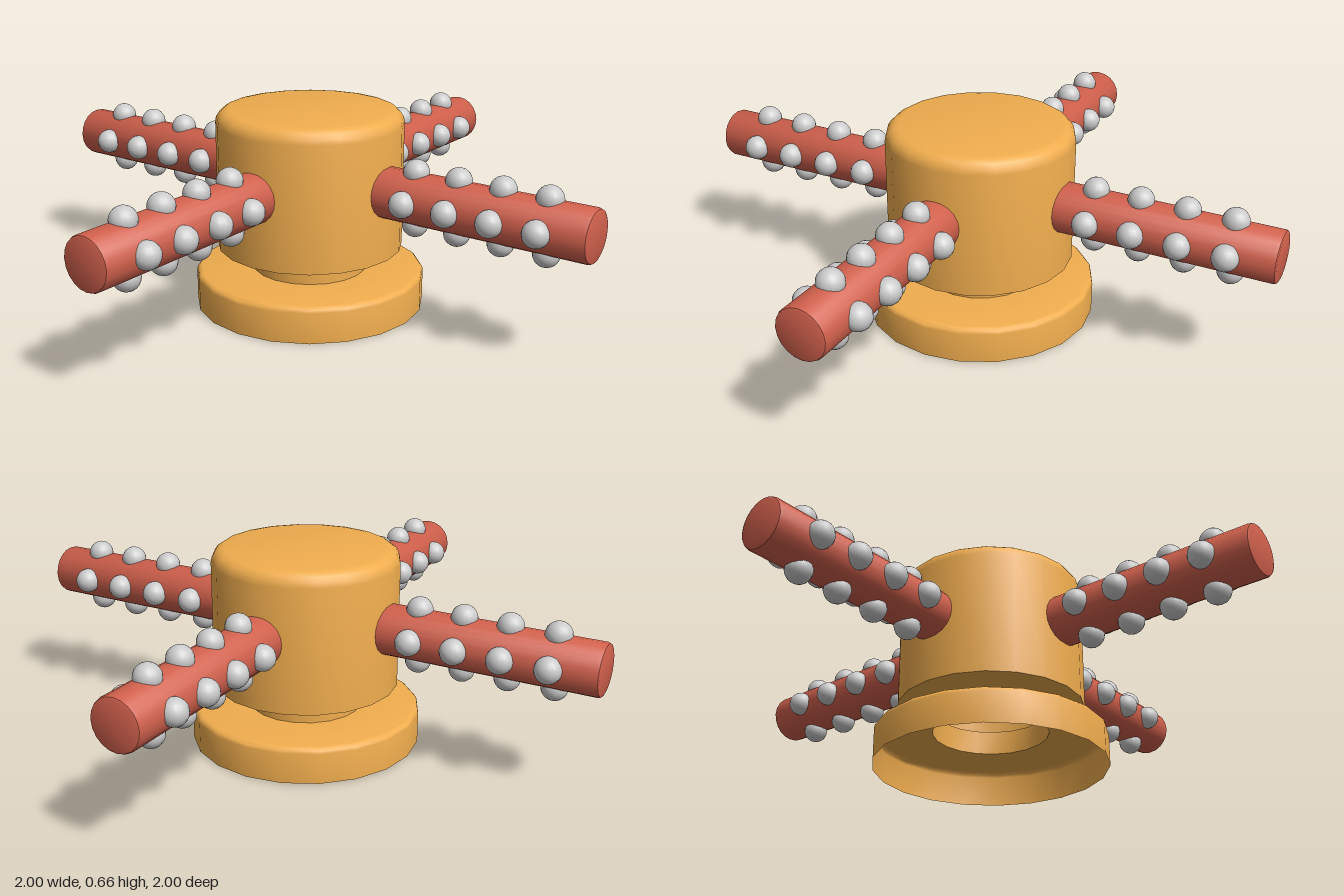
import * as THREE from 'three';
import { toCreasedNormals } from 'three/addons/utils/BufferGeometryUtils.js';

const AXIS_Y = 0.43, ARM_R = 0.083, STUD_R = 0.042;

// Turned shape with crisp corners and smooth sides
function turned(profile, sides) {
  const points = profile.map(([r, y]) => new THREE.Vector2(r, y));
  return toCreasedNormals(new THREE.LatheGeometry(points, sides), 0.7);
}

// Rounded outer corner of a profile, ending on a flat top at height y
function corner(r, y, radius, steps = 4) {
  return Array.from({ length: steps + 1 }, (_, i) => {
    const a = (i / steps) * Math.PI / 2;
    return [r - radius + radius * Math.cos(a), y - radius + radius * Math.sin(a)];
  });
}

export function createModel() {
  const model = new THREE.Group();
  model.name = 'studdedHandwheel';
  const bodyMat = new THREE.MeshStandardMaterial({ color: 0xf0ad4e, side: THREE.DoubleSide });
  const armMat = new THREE.MeshStandardMaterial({ color: 0xd0604c });
  const studMat = new THREE.MeshStandardMaterial({ color: 0xcccccc });

  // Hollow shell, open underneath: flange, neck and hub
  const body = new THREE.Mesh(turned([
    [0.382, 0], ...corner(0.382, 0.12, 0.018, 3),
    [0.19, 0.12], [0.19, 0.2],
    [0.308, 0.2], ...corner(0.308, 0.66, 0.045),
    [0, 0.66],
  ], 20), bodyMat);
  body.name = 'hubAndFlange';
  model.add(body);

  // Four arms, each with four rings of four half-sunk studs
  const armGeo = turned([
    [0, 0.28], [ARM_R, 0.28], ...corner(ARM_R, 1, 0.01, 2), [0, 1],
  ], 20);
  const studGeo = new THREE.SphereGeometry(STUD_R, 16, 12);
  for (let k = 0; k < 4; k++) {
    const arm = new THREE.Group();
    arm.name = 'arm' + (k + 1);
    const rod = new THREE.Mesh(armGeo, armMat);
    rod.name = 'rod';
    rod.rotation.z = -Math.PI / 2;
    arm.add(rod);
    for (let ring = 0; ring < 4; ring++) {
      for (let q = 0; q < 4; q++) {
        const a = q * Math.PI / 2;
        const stud = new THREE.Mesh(studGeo, studMat);
        stud.name = 'stud';
        stud.position.set(0.407 + ring * 0.148, ARM_R * Math.cos(a), ARM_R * Math.sin(a));
        arm.add(stud);
      }
    }
    arm.position.y = AXIS_Y;
    arm.rotation.y = k * Math.PI / 2;
    model.add(arm);
  }
  return model;
}
